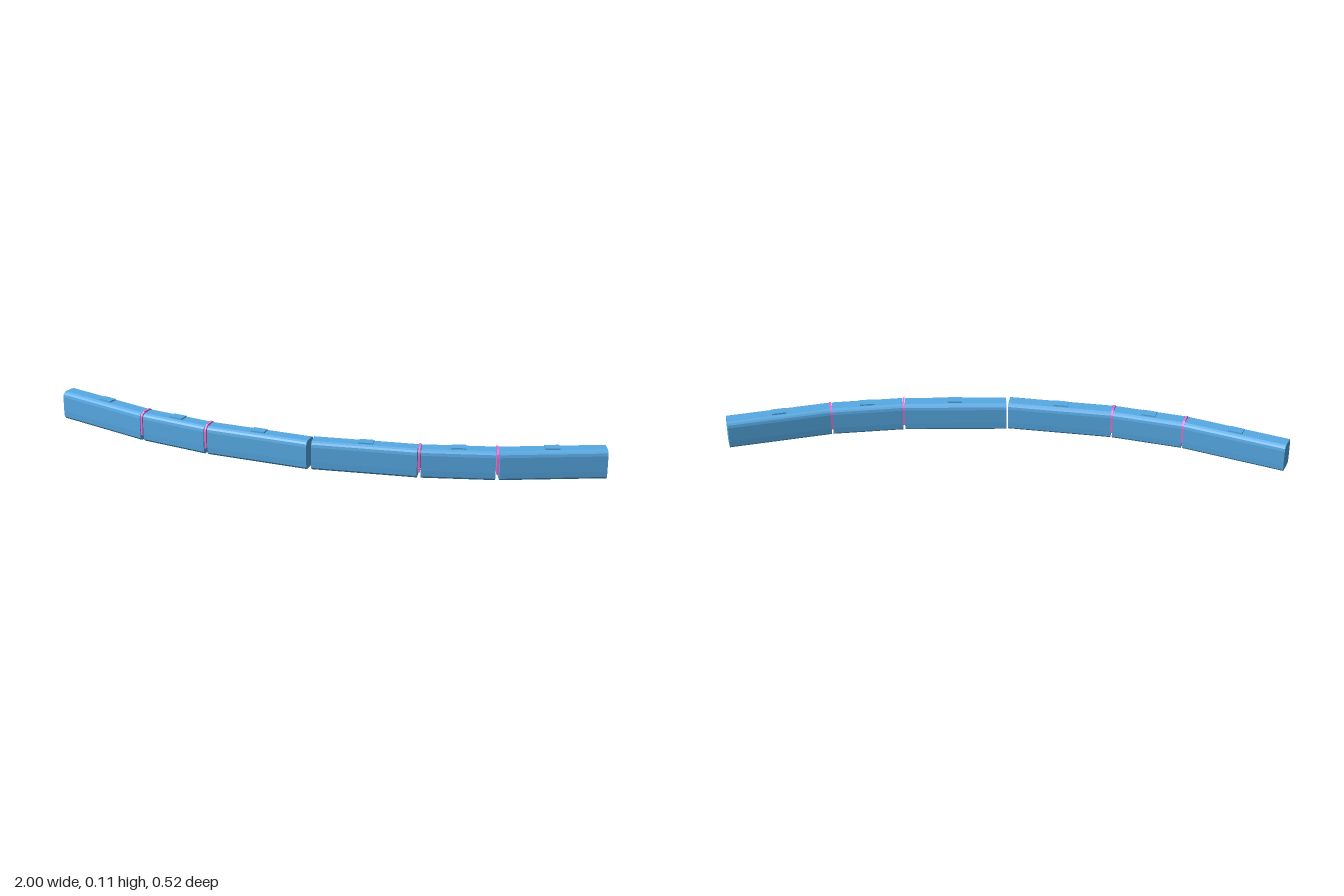
import * as THREE from 'three';

const blue = new THREE.MeshStandardMaterial({ color: 0x57abe6 });
blue.name = 'bodyBlue';
const pink = new THREE.MeshStandardMaterial({ color: 0xe673d2 });
pink.name = 'gangwayPink';

// Half outlines (half width, height), listed from bottom to top
const BODY = [[0.027, 0], [0.034, 0.008], [0.0352, 0.03], [0.0352, 0.086], [0.033, 0.096], [0.0285, 0.102], [0.021, 0.106]];
const GANGWAY = [[0.0355, 0.024], [0.0355, 0.087], [0.0335, 0.097], [0.029, 0.103], [0.0225, 0.107], [0.018, 0.111]];

// Prism of a mirrored outline, centred along its local x axis
function prism(half, length) {
  const mirrored = half.map(([w, y]) => [-w, y]).reverse();
  const shape = new THREE.Shape([...half, ...mirrored].map(([w, y]) => new THREE.Vector2(w, y)));
  const geometry = new THREE.ExtrudeGeometry(shape, { depth: length, bevelEnabled: false });
  geometry.translate(0, 0, -length / 2);
  geometry.rotateY(Math.PI / 2);
  return geometry;
}

function addMesh(parent, name, geometry, material) {
  const mesh = new THREE.Mesh(geometry, material);
  mesh.name = name;
  parent.add(mesh);
  return mesh;
}

export function createModel() {
  const train = new THREE.Group();
  train.name = 'train';

  // Two units of three cars; each point is a car end or joint (x, z)
  const units = [
    [[-0.996, 0.177], [-0.617, 0.226], [-0.35, 0.226], [0.033, 0.18]],
    [[0.043, 0.174], [0.406, 0.066], [0.653, -0.039], [0.982, -0.23]],
  ];

  units.forEach((points, u) => {
    const unit = new THREE.Group();
    unit.name = u === 0 ? 'rearUnit' : 'frontUnit';
    train.add(unit);
    const angles = [];

    for (let i = 0; i < 3; i++) {
      const [ax, az] = points[i];
      const [bx, bz] = points[i + 1];
      const length = Math.hypot(bx - ax, bz - az);
      const angle = Math.atan2(-(bz - az), bx - ax);
      angles.push(angle);

      // Leave a small gap at each joint
      const startGap = i > 0 ? 0.005 : 0;
      const endGap = i < 2 ? 0.005 : 0;
      const car = new THREE.Group();
      car.name = 'car' + (u * 3 + i + 1);
      car.position.set((ax + bx) / 2, 0, (az + bz) / 2);
      car.rotation.y = angle;
      unit.add(car);

      const body = addMesh(car, 'carBody', prism(BODY, length - startGap - endGap), blue);
      body.position.x = (startGap - endGap) / 2;
      const roofUnit = addMesh(car, 'roofUnit', new THREE.BoxGeometry(0.052, 0.01, 0.032), blue);
      roofUnit.position.y = 0.1065;
    }

    // Gangways bridge the joints at the mean angle of their cars
    for (let i = 1; i < 3; i++) {
      const gangway = addMesh(unit, 'gangway', prism(GANGWAY, 0.008), pink);
      gangway.position.set(points[i][0], 0, points[i][1]);
      gangway.rotation.y = (angles[i - 1] + angles[i]) / 2;
    }
  });

  return train;
}
